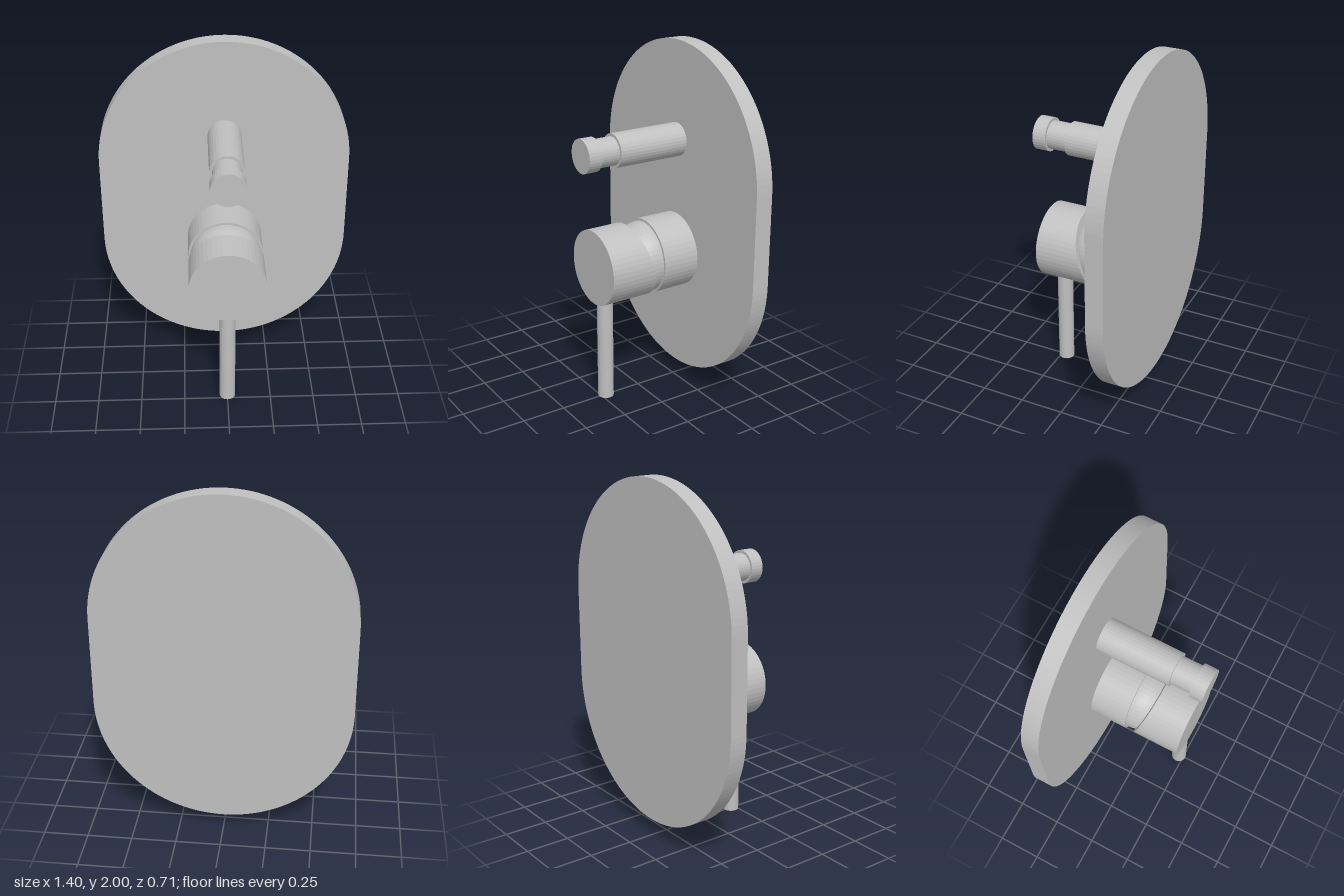
import * as THREE from 'three';

const metal = new THREE.MeshStandardMaterial({ color: 0xc0c0c0 });
metal.name = 'satin metal';

function add(parent, name, geometry) {
  // Faceted normals for curved sides
  const flat = geometry.index ? geometry.toNonIndexed() : geometry;
  flat.computeVertexNormals();
  const mesh = new THREE.Mesh(flat, metal);
  mesh.name = name;
  parent.add(mesh);
  return mesh;
}

// Round bar along z between two depths
function bar(radius, y, z0, z1, sides = 48, open = false) {
  return new THREE.CylinderGeometry(radius, radius, z1 - z0, sides, 1, open)
    .rotateX(Math.PI / 2).translate(0, y, (z0 + z1) / 2);
}

// Slanted back of the handle, upright below the bend
const backZ = (y) => 0.007 + Math.max(0, y - 0.735) * 0.274;

function slantBack(geometry) {
  const p = geometry.attributes.position;
  for (let i = 0; i < p.count; i++) {
    if (p.getZ(i) < 0.1) p.setZ(i, backZ(p.getY(i)));
  }
  return geometry;
}

export function createModel() {
  const model = new THREE.Group();
  model.name = 'wallMixer';

  // Wall plate with two half-round ends
  const outline = new THREE.Shape();
  outline.absarc(0, 1.3, 0.7, 0, Math.PI);
  outline.absarc(0, 0.8, 0.7, Math.PI, Math.PI * 2);
  outline.closePath();
  add(model, 'wallPlate', new THREE.ExtrudeGeometry(outline, {
    depth: 0.1, bevelEnabled: false, curveSegments: 32,
  }).translate(0, 0, -0.356));

  // Diverter: stem, neck and button
  const diverter = new THREE.Group();
  diverter.name = 'diverter';
  model.add(diverter);
  add(diverter, 'stem', bar(0.094, 1.452, -0.257, 0.163, 32));
  add(diverter, 'neck', bar(0.079, 1.452, 0.163, 0.28, 32));
  add(diverter, 'button', bar(0.094, 1.452, 0.28, 0.356, 32));

  // Mixer body with the ball joint at its front
  const mixer = new THREE.Group();
  mixer.name = 'mixer';
  model.add(mixer);
  const y = 0.807, r = 0.213;
  add(mixer, 'body', bar(r, y, -0.257, -0.04));
  add(mixer, 'ballJoint', new THREE.SphereGeometry(0.2, 48, 16, 0, Math.PI * 2, 0, Math.PI / 2)
    .rotateX(Math.PI / 2).translate(0, y, -0.04));

  // Handle drum: side wall, front face and slanted back
  const handle = new THREE.Group();
  handle.name = 'handle';
  model.add(handle);
  add(handle, 'drumSide', slantBack(bar(r, y, 0, 0.291, 48, true)));
  add(handle, 'drumFront', new THREE.CircleGeometry(r, 48)
    .rotateZ(Math.PI / 2).translate(0, y, 0.291));
  add(handle, 'drumBack', slantBack(new THREE.RingGeometry(0.01, r, 48, 8)
    .rotateZ(Math.PI / 2).rotateY(Math.PI).translate(0, y, 0)));

  // Lever hanging below the drum
  add(handle, 'lever', new THREE.CylinderGeometry(0.045, 0.045, 0.64, 24)
    .translate(0, 0.32, 0.22));

  return model;
}
